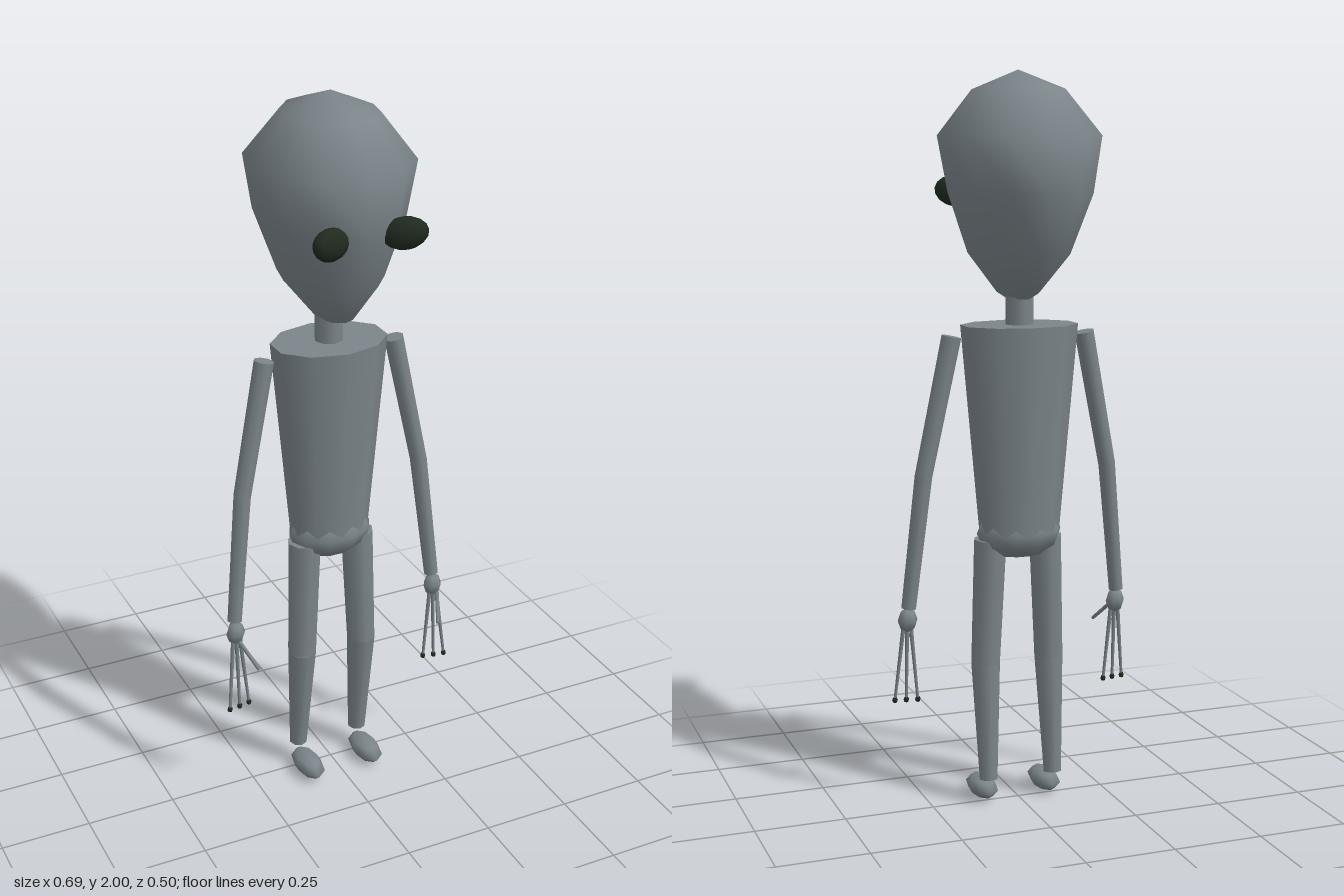
import * as THREE from 'three';
import { mergeVertices } from 'three/addons/utils/BufferGeometryUtils.js';

const skin = new THREE.MeshStandardMaterial({ color: 0x7b858a });
skin.name = 'grey skin';
const dark = new THREE.MeshStandardMaterial({ color: 0x202a20 });
dark.name = 'dark eye';

function add(parent, name, geometry, material) {
  const mesh = new THREE.Mesh(geometry, material);
  mesh.name = name;
  parent.add(mesh);
  return mesh;
}

// Tapered cylinder from point a (radius ra) to point b (radius rb)
function limb(parent, name, a, b, ra, rb, sides = 8) {
  const from = new THREE.Vector3(...a), to = new THREE.Vector3(...b);
  const dir = from.clone().sub(to);
  const mesh = add(parent, name, new THREE.CylinderGeometry(ra, rb, dir.length(), sides), skin);
  mesh.position.copy(from).add(to).multiplyScalar(0.5);
  mesh.quaternion.setFromUnitVectors(new THREE.Vector3(0, 1, 0), dir.normalize());
  return mesh;
}

function ellipsoid(parent, name, centre, radii, material, w = 8, h = 6) {
  const mesh = add(parent, name, new THREE.SphereGeometry(1, w, h), material);
  mesh.position.set(...centre);
  mesh.scale.set(...radii);
  return mesh;
}

// Rings of the head: height, half width, half depth, depth offset
function headGeometry() {
  const rings = [
    [2.0, 0, 0, 0], [1.95, 0.12, 0.15, 0], [1.83, 0.218, 0.238, -0.005],
    [1.68, 0.187, 0.238, -0.012], [1.52, 0.133, 0.167, -0.002],
    [1.415, 0.05, 0.09, 0.005], [1.38, 0, 0, 0],
  ];
  const sides = 12;
  const geometry = new THREE.SphereGeometry(1, sides, rings.length - 1);
  const p = geometry.attributes.position;
  for (let i = 0; i < p.count; i++) {
    const [y, rx, rz, cz] = rings[Math.floor(i / (sides + 1))];
    const r = Math.hypot(p.getX(i), p.getZ(i)) || 1;
    p.setXYZ(i, (p.getX(i) / r) * rx, y, (p.getZ(i) / r) * rz + cz);
  }
  geometry.deleteAttribute('uv');
  geometry.deleteAttribute('normal');
  const merged = mergeVertices(geometry, 1e-4);
  merged.computeVertexNormals();
  return merged;
}

export function createModel() {
  const model = new THREE.Group();
  model.name = 'figure';

  add(model, 'head', headGeometry(), skin);
  limb(model, 'neck', [0, 1.43, -0.01], [0, 1.31, -0.01], 0.04, 0.04);

  // Torso tapers to the waist and is flattened front to back
  const torso = add(model, 'torso', new THREE.CylinderGeometry(0.163, 0.112, 0.57, 10), skin);
  torso.position.set(0, 1.047, -0.009);
  torso.scale.z = 0.73;
  ellipsoid(model, 'pelvis', [0, 0.765, -0.006], [0.122, 0.075, 0.086], skin, 10, 6);

  for (const s of [1, -1]) {
    const side = new THREE.Group();
    side.name = s > 0 ? 'leftSide' : 'rightSide';
    model.add(side);

    // Slanted eye wrapping round the face
    const eye = ellipsoid(side, 'eye', [s * 0.102, 1.68, 0.215], [0.06, 0.043, 0.03], dark, 10, 8);
    eye.rotation.set(0, -s * 0.42, s * 0.15);

    // Arm
    limb(side, 'upperArm', [s * 0.19, 1.305, -0.004], [s * 0.266, 0.933, 0.01], 0.028, 0.025);
    limb(side, 'forearm', [s * 0.266, 0.935, 0.01], [s * 0.306, 0.565, 0.03], 0.025, 0.021);
    ellipsoid(side, 'hand', [s * 0.307, 0.53, 0.038], [0.028, 0.034, 0.026], skin, 6, 4);

    // Three fingers with dark tips, and a thumb
    [[0.277, 0.048], [0.308, 0.055], [0.339, 0.06]].forEach(([x, z]) => {
      const knuckle = 0.307 + (x - 0.308) * 0.3;
      limb(side, 'finger', [s * knuckle, 0.52, 0.042], [s * x, 0.3, z], 0.006, 0.004, 6);
      ellipsoid(side, 'fingertip', [s * x, 0.3, z], [0.008, 0.009, 0.008], dark, 6, 4);
    });
    limb(side, 'thumb', [s * 0.308, 0.517, 0.066], [s * 0.278, 0.456, 0.13], 0.006, 0.005, 6);

    // Leg
    limb(side, 'thigh', [s * 0.08, 0.745, 0.002], [s * 0.093, 0.397, 0.007], 0.047, 0.042);
    limb(side, 'shin', [s * 0.093, 0.4, 0.007], [s * 0.095, 0.07, -0.021], 0.042, 0.026);
    ellipsoid(side, 'foot', [s * 0.093, 0.029, 0.042], [0.04, 0.029, 0.079], skin, 8, 4);
  }
  return model;
}
